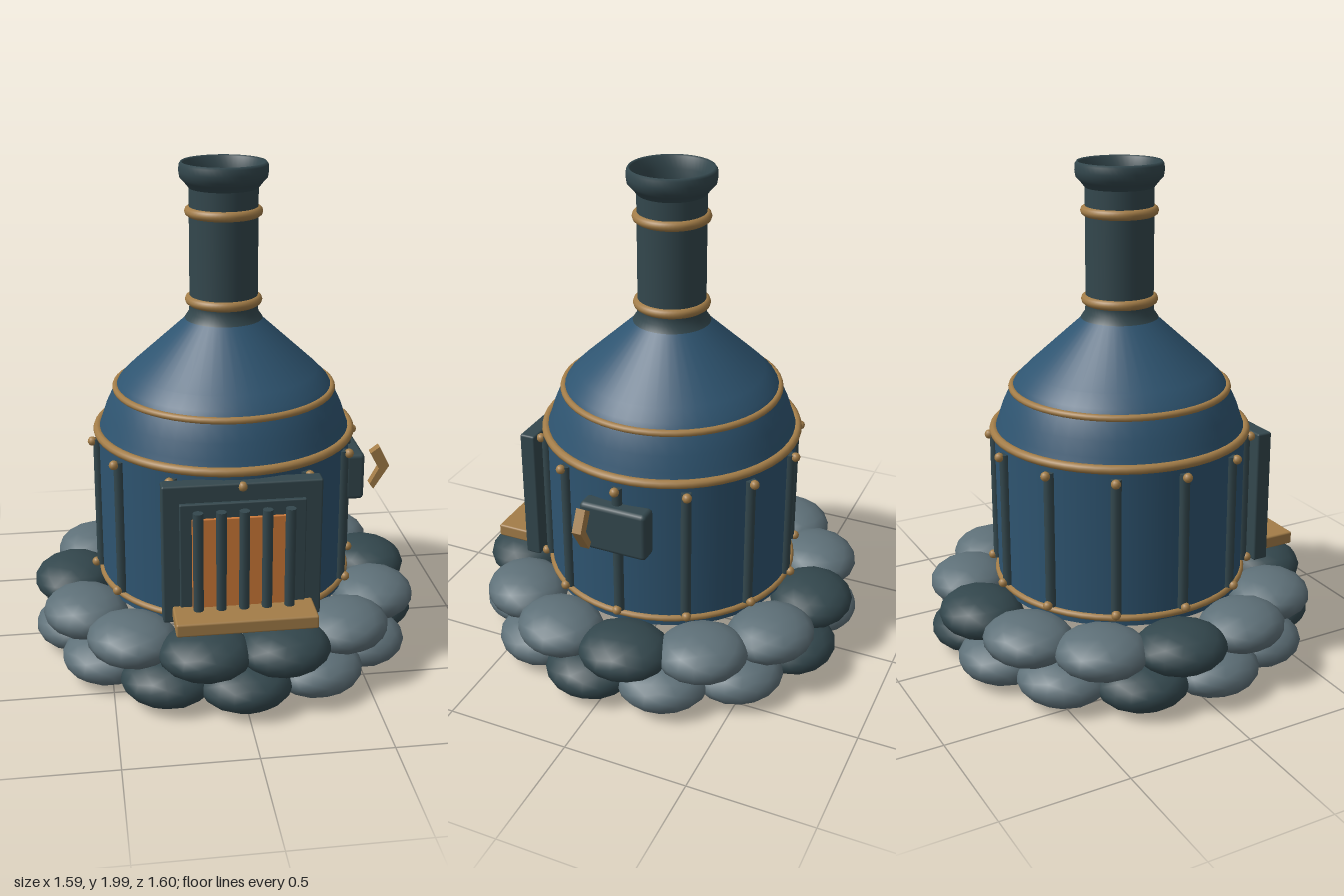
import * as THREE from 'three';
import { RoundedBoxGeometry } from 'three/addons/geometries/RoundedBoxGeometry.js';

const mat = (name, color, side = THREE.FrontSide) => {
  const m = new THREE.MeshStandardMaterial({ color, side });
  m.name = name;
  return m;
};

export function createModel() {
  const root = new THREE.Group();
  root.name = 'furnace';
  const blue = mat('blue enamel', 0x2e5470, THREE.DoubleSide);
  const iron = mat('dark iron', 0x33474d, THREE.DoubleSide);
  const stone = mat('grey stone', 0x5e7078);
  const brass = mat('brass', 0xa37d48);
  const ember = mat('ember orange', 0xcf7a38);

  const add = (name, geo, material, x = 0, y = 0, z = 0, parent = root) => {
    const m = new THREE.Mesh(geo, material);
    m.name = name;
    m.position.set(x, y, z);
    parent.add(m);
    return m;
  };
  const lathe = (pts, seg = 48) =>
    new THREE.LatheGeometry(pts.map(([r, y]) => new THREE.Vector2(r, y)), seg);
  const box = (name, material, w, h, d, x, y, z, r = 0.008) =>
    add(name, new RoundedBoxGeometry(w, h, d, 2, r), material, x, y, z);

  // Two staggered rings of boulders, every third one dark
  const base = new THREE.Group();
  base.name = 'stoneBase';
  root.add(base);
  const boulder = new THREE.IcosahedronGeometry(1, 2);
  const COUNT = 13;
  [[0.105, 0], [0.237, 0.5]].forEach(([y, shift], row) => {
    for (let i = 0; i < COUNT; i++) {
      const a = ((i + shift) / COUNT) * Math.PI * 2;
      const s = add(row ? 'upperStone' : 'lowerStone', boulder, i % 3 ? stone : iron,
        Math.sin(a) * 0.635, y, Math.cos(a) * 0.635, base);
      s.scale.set(0.185, 0.092, 0.168);
      s.rotation.y = a;
    }
  });

  // Open shell: drum wall, dome and chimney
  add('drumWall', new THREE.CylinderGeometry(0.51, 0.51, 0.65, 48, 1, true), blue, 0, 0.605, 0);
  add('dome', lathe([[0.51, 0.93], [0.495, 0.97], [0.475, 1.03], [0.447, 1.09], [0.42, 1.135],
    [0.375, 1.18], [0.15, 1.385], [0.135, 1.41]]), blue);
  add('chimney', lathe([[0.155, 1.385], [0.138, 1.41], [0.135, 1.44], [0.135, 1.9]]), iron);
  add('chimneyLip', lathe([[0.135, 1.9], [0.155, 1.925], [0.17, 1.94], [0.174, 1.965], [0.172, 1.99],
    [0.165, 2], [0.157, 1.995], [0.14, 1.95], [0.135, 1.9]]), iron);

  // Brass hoops
  [[0.51, 0.315, 0.014], [0.513, 0.93, 0.018], [0.436, 1.105, 0.014],
    [0.133, 1.46, 0.02], [0.133, 1.81, 0.02]].forEach(([r, y, t]) => {
    add('brassHoop', new THREE.TorusGeometry(r, t, 10, 56), brass, 0, y, 0).rotation.x = Math.PI / 2;
  });

  // Twelve ribs with a rivet at each end
  const rib = new THREE.CylinderGeometry(0.021, 0.021, 0.56, 10);
  const rivet = new THREE.SphereGeometry(0.019, 12, 8);
  for (let i = 0; i < 12; i++) {
    const a = (i / 12) * Math.PI * 2, s = Math.sin(a), c = Math.cos(a);
    add('rib', rib, iron, s * 0.514, 0.612, c * 0.514);
    for (const y of [0.34, 0.882]) add('rivet', rivet, brass, s * 0.537, y, c * 0.537);
  }

  // Fire door with grate and shelf
  box('doorPlate', iron, 0.61, 0.565, 0.066, 0, 0.615, 0.511);
  box('doorFrame', iron, 0.48, 0.48, 0.03, 0, 0.588, 0.545, 0.005);
  box('fireGlow', ember, 0.39, 0.38, 0.02, 0, 0.58, 0.561, 0.003);
  const bar = new THREE.CylinderGeometry(0.02, 0.02, 0.42, 10);
  for (let i = -2; i <= 2; i++) add('grateBar', bar, iron, i * 0.0872, 0.597, 0.589);
  box('shelf', brass, 0.54, 0.053, 0.152, 0, 0.379, 0.62);

  // Side latch box with bent handle
  box('latchBox', iron, 0.082, 0.2, 0.28, 0.525, 0.72, 0, 0.018);
  const bend = new THREE.Shape([[0.595, 0.812], [0.595 + 0.037, 0.839], [0.675, 0.754], [0.611, 0.653],
    [0.595, 0.675], [0.632, 0.743]].map(([x, y]) => new THREE.Vector2(x, y)));
  add('latchHandle', new THREE.ExtrudeGeometry(bend, { depth: 0.038, bevelEnabled: false }),
    brass, 0, 0, 0.075);

  return root;
}
